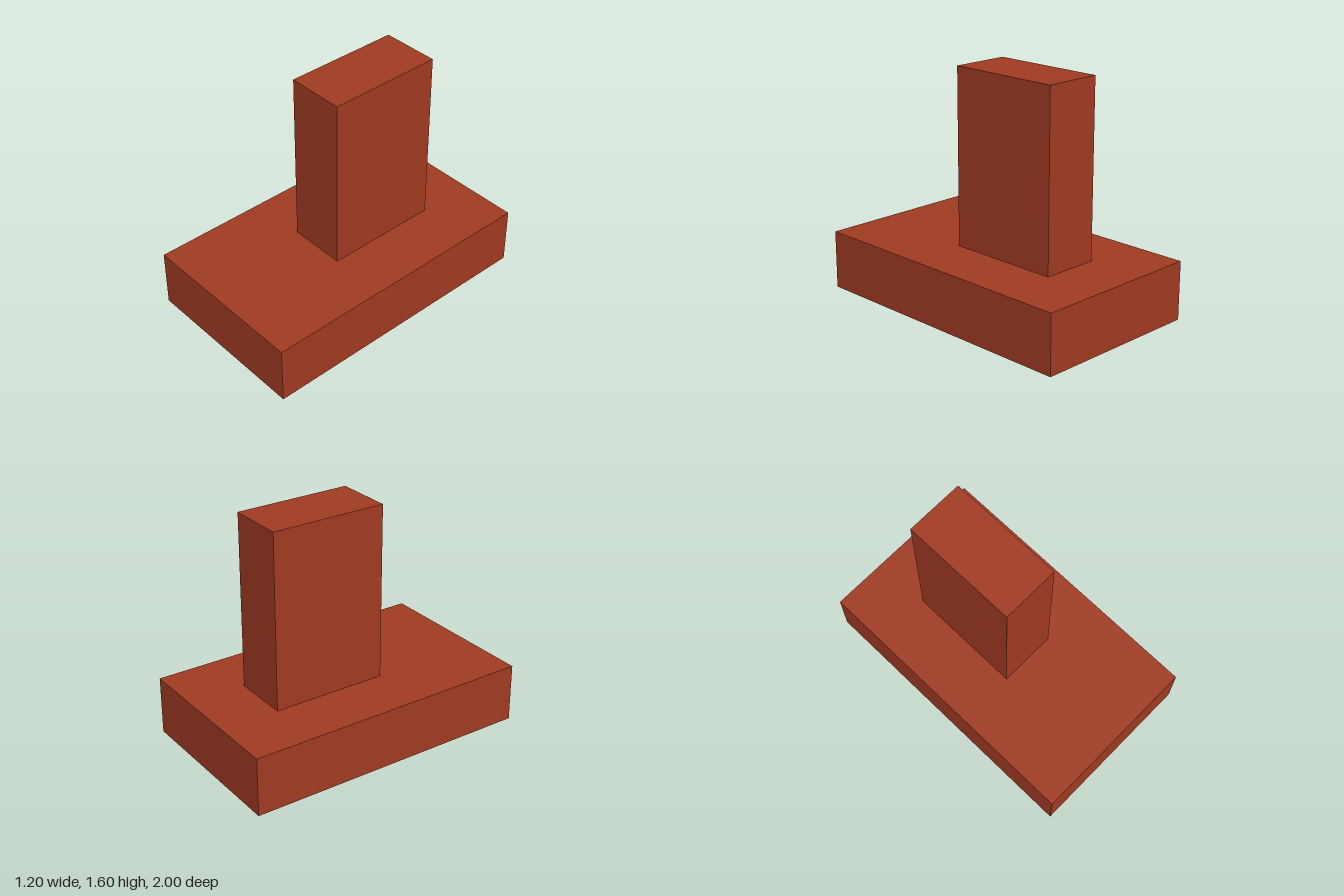
import * as THREE from 'three';

export function createModel() {
  const model = new THREE.Group();
  const rust = new THREE.MeshStandardMaterial({ color: 0x9f3a22 });
  rust.name = 'rustRed';

  // Adds a block standing on height y
  const addBlock = (name, width, height, depth, y, z) => {
    const mesh = new THREE.Mesh(new THREE.BoxGeometry(width, height, depth), rust);
    mesh.name = name;
    mesh.position.set(0, y + height / 2, z);
    model.add(mesh);
  };

  // Wide base slab
  addBlock('base', 1.2, 0.4, 2, 0, 0);
  // Upright column, set towards the back
  addBlock('column', 0.4, 1.2, 0.8, 0.4, -0.2);

  return model;
}
